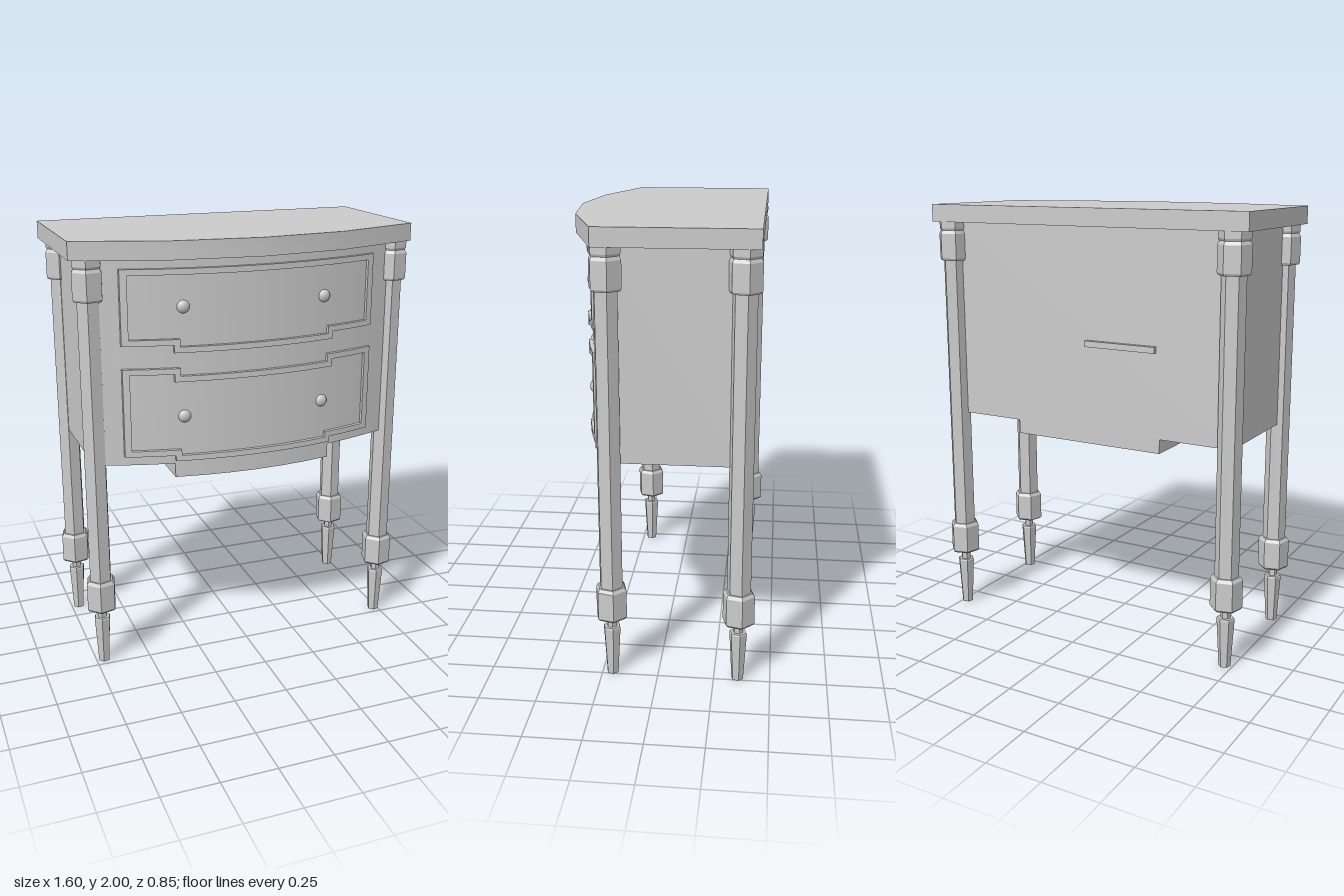
import * as THREE from 'three';
import { toCreasedNormals } from 'three/addons/utils/BufferGeometryUtils.js';

// Bowed front lines in plan, as [x, z]
const topLine = [[-0.8, 0.253], [-0.39, 0.384], [0, 0.425], [0.39, 0.384], [0.8, 0.253]];
const caseHalf = 0.725;
const bodyLine = Array.from({ length: 13 }, (_, i) => {
  const x = caseHalf * (i / 6 - 1);
  return [x, 0.361 - 0.26 * x * x];
});

const grey = new THREE.MeshStandardMaterial({ color: 0xcccccc });
const faceted = new THREE.MeshStandardMaterial({ color: 0xcccccc, flatShading: true });

// Depth of a bowed line at x
function bowAt(line, x) {
  let i = 0;
  while (i < line.length - 2 && x > line[i + 1][0]) i++;
  const [[xa, za], [xb, zb]] = [line[i], line[i + 1]];
  return za + ((zb - za) * (x - xa)) / (xb - xa);
}

// The part of a bowed line between x0 and x1
function cutLine(line, x0, x1) {
  const inner = line.filter(([x]) => x > x0 + 1e-4 && x < x1 - 1e-4);
  return [[x0, bowAt(line, x0)], ...inner, [x1, bowAt(line, x1)]];
}

// Upright solid from a closed plan outline
function slab(name, outline, y0, y1) {
  const shape = new THREE.Shape(outline.map(([x, z]) => new THREE.Vector2(x, -z)));
  const geo = new THREE.ExtrudeGeometry(shape, { depth: y1 - y0, bevelEnabled: false });
  geo.rotateX(-Math.PI / 2).translate(0, y0, 0);
  const mesh = new THREE.Mesh(toCreasedNormals(geo, 0.5), grey);
  mesh.name = name;
  return mesh;
}

// Solid with a flat back and a bowed front
function bowSolid(name, line, x0, x1, y0, y1, back) {
  return slab(name, [...cutLine(line, x0, x1), [x1, back], [x0, back]], y0, y1);
}

// Thin moulding that follows the bowed front
function moulding(x0, x1, y0, y1) {
  const pts = cutLine(bodyLine, x0, x1);
  const outline = [
    ...pts.map(([x, z]) => [x, z + 0.018]),
    ...pts.reverse().map(([x, z]) => [x, z - 0.02]),
  ];
  return slab('moulding', outline, y0, y1);
}

// Horizontal rail stepped up or down in its middle part
function steppedRail(group, side, middle, t) {
  const w = 0.595, s = 0.375;
  group.add(moulding(-s, s, middle, middle + t));
  for (const m of [-1, 1]) {
    const span = (a, b) => (m > 0 ? [a, b] : [-b, -a]);
    group.add(moulding(...span(s, w), side, side + t));
    if (side > middle) group.add(moulding(...span(s - 0.025, s), middle + t, side + t));
  }
}

function drawer(name, top, topMid, bottom, bottomMid, knobY) {
  const g = new THREE.Group();
  g.name = name;
  const t = 0.026;
  steppedRail(g, top - t, topMid - t, t);
  steppedRail(g, bottom, bottomMid, t);
  for (const m of [-1, 1]) {
    const x = m * 0.58;
    g.add(moulding(x - 0.015, x + 0.015, bottom + t, top - t));
    const knob = new THREE.Mesh(new THREE.SphereGeometry(0.029, 16, 12), grey);
    knob.name = 'knob';
    knob.scale.z = 0.7;
    knob.position.set(m * 0.33, knobY, 0.33);
    g.add(knob);
  }
  return g;
}

// Six-sided leg profile as [half width, y]
const legProfile = [
  [0, 0], [0.026, 0], [0.039, 0.225], [0.036, 0.233], [0.022, 0.233], [0.022, 0.278],
  [0.064, 0.278], [0.07, 0.286], [0.07, 0.415], [0.06, 0.43], [0.052, 0.43],
  [0.052, 1.74], [0.064, 1.74], [0.07, 1.75], [0.07, 1.865], [0.062, 1.88],
  [0.067, 1.89], [0.067, 1.92], [0, 1.92],
];

// The hexagon is turned 15 degrees, so it is equally wide along x and z
function leg(name, x, z) {
  const k = 1 / Math.cos(Math.PI / 12);
  const pts = legProfile.map(([r, y]) => new THREE.Vector2(r * k, y));
  const mesh = new THREE.Mesh(new THREE.LatheGeometry(pts, 6, Math.PI / 4), faceted);
  mesh.name = name;
  mesh.position.set(x, 0, z);
  return mesh;
}

export function createModel() {
  const model = new THREE.Group();
  model.name = 'bowFrontNightstand';

  // Top, case and apron; the case corners run into the legs
  model.add(bowSolid('tabletop', topLine, -0.8, 0.8, 1.92, 2, -0.42));
  model.add(bowSolid('case', bodyLine, -caseHalf, caseHalf, 1, 1.92, -0.355));
  model.add(bowSolid('apron', bodyLine, -0.375, 0.375, 0.935, 1, -0.355));

  // Drawers with stepped mouldings and knobs
  model.add(drawer('upperDrawer', 1.877, 1.877, 1.547, 1.513, 1.711));
  model.add(drawer('lowerDrawer', 1.444, 1.409, 1.043, 1.017, 1.221));

  // Small rail on the back
  const rail = new THREE.Mesh(new THREE.BoxGeometry(0.35, 0.028, 0.03), grey);
  rail.name = 'backRail';
  rail.position.set(-0.18, 1.4, -0.36);
  model.add(rail);

  // Legs
  for (const [side, x] of [['Right', -0.713], ['Left', 0.73]]) {
    model.add(leg('front' + side + 'Leg', x, 0.205));
    model.add(leg('back' + side + 'Leg', x, -0.355));
  }
  return model;
}
